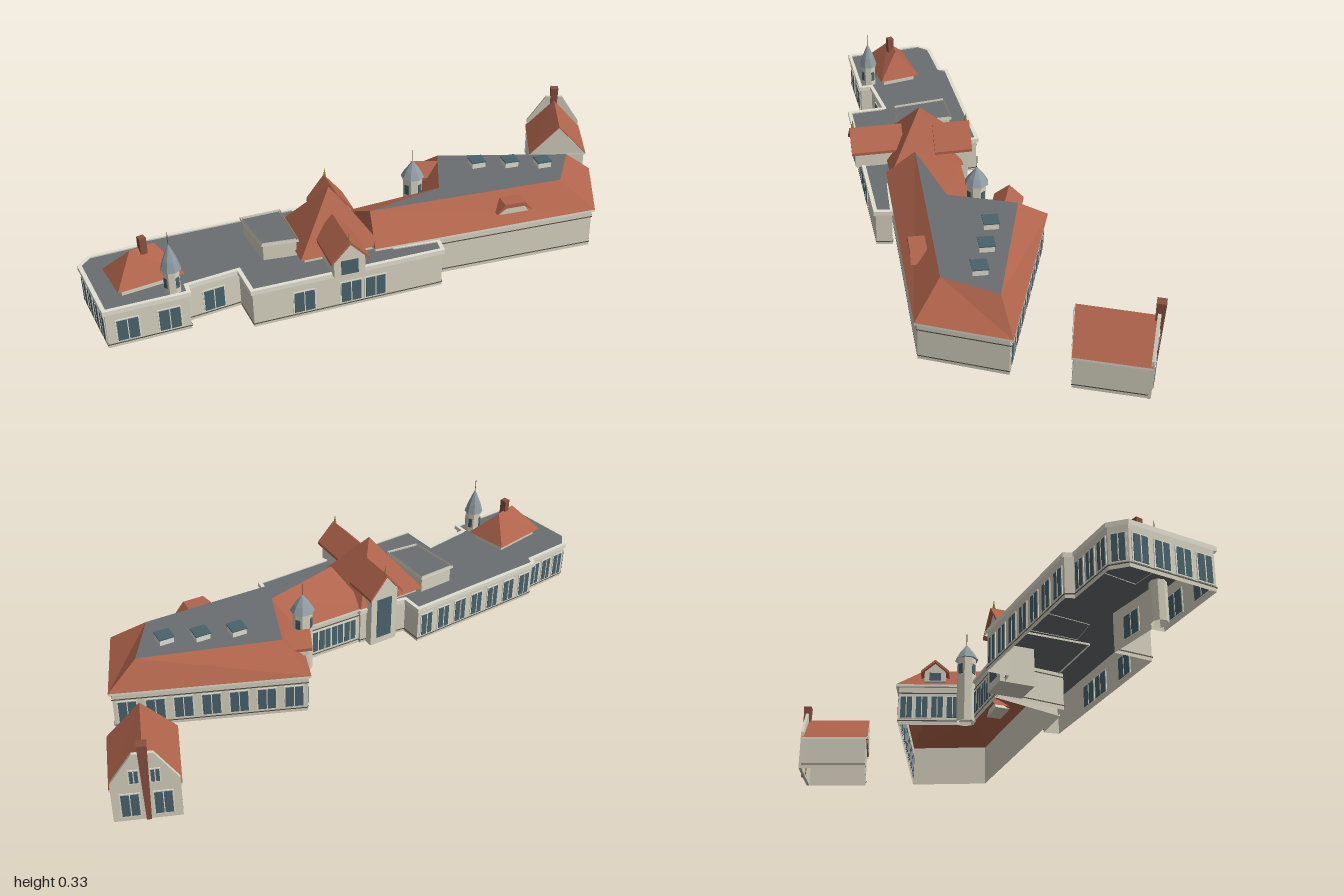
import * as THREE from 'three';

const mat = (color) => new THREE.MeshStandardMaterial({ color, flatShading: true, side: THREE.DoubleSide });

// Loops list [x, z] corners, clockwise as seen from above.
const mainEave = [[-0.12, -0.12], [0.13, -0.05], [0.27, -0.25], [0.76, 0.12], [0.58, 0.345], [-0.16, 0.135]];
const mainTop = [[-0.12, 0.045], [0.15, 0.05], [0.28, -0.135], [0.655, 0.11], [0.515, 0.235], [-0.12, 0.045]];
const wing = [[-0.96, -0.315], [-0.915, -0.347], [-0.75, -0.32], [-0.735, -0.342], [-0.242, -0.24], [-0.255, -0.17],
  [-0.1, -0.11], [-0.1, 0.15], [0.042, 0.195], [0.022, 0.244], [-0.585, 0.106], [-0.563, -0.02], [-0.735, -0.035],
  [-0.745, 0.004], [-0.994, -0.045]];
const house = [[0.695, -0.117], [0.832, -0.3], [0.985, -0.187], [0.862, -0.015]];

// Moves every side of a loop outward by d (mitred corners).
function offset(loop, d) {
  const n = loop.length;
  const normal = (a, b) => {
    const l = Math.hypot(b[0] - a[0], b[1] - a[1]);
    return [(b[1] - a[1]) / l, (a[0] - b[0]) / l];
  };
  return loop.map((p, i) => {
    const u = normal(loop[(i + n - 1) % n], p), v = normal(p, loop[(i + 1) % n]);
    const k = d / (1 + u[0] * v[0] + u[1] * v[1]);
    return [p[0] + (u[0] + v[0]) * k, p[1] + (u[1] + v[1]) * k];
  });
}

// Skin between two loops, with an optional lid on the upper one.
function loft(lower, y0, upper, y1, { sides = true, lid = false } = {}) {
  const pos = [], n = lower.length;
  const at = (p, y) => [p[0], y, p[1]];
  if (sides) for (let i = 0; i < n; i++) {
    const j = (i + 1) % n;
    const a = at(lower[i], y0), b = at(lower[j], y0), c = at(upper[j], y1), d = at(upper[i], y1);
    pos.push(...a, ...d, ...c, ...a, ...c, ...b);
  }
  if (lid) {
    const pts = upper.map(([x, z]) => new THREE.Vector2(x, z));
    for (const [a, b, c] of THREE.ShapeUtils.triangulateShape(pts, [])) {
      const [p, q, r] = [upper[a], upper[b], upper[c]];
      const up = (q[0] - p[0]) * (r[1] - p[1]) - (q[1] - p[1]) * (r[0] - p[0]) < 0;
      for (const v of up ? [p, q, r] : [p, r, q]) pos.push(...at(v, y1));
    }
  }
  const g = new THREE.BufferGeometry();
  g.setAttribute('position', new THREE.Float32BufferAttribute(pos, 3));
  g.computeVertexNormals();
  return g;
}

function extrude(points, depth) {
  const shape = new THREE.Shape(points.map(([x, y]) => new THREE.Vector2(x, y)));
  return new THREE.ExtrudeGeometry(shape, { depth, bevelEnabled: false });
}

export function createModel() {
  const root = new THREE.Group();
  const cream = mat(0xd6d2c0), trim = mat(0xe2dfd2), red = mat(0xb0644c), slate = mat(0x6a6e70);
  const lead = mat(0x8f9ca2), glass = mat(0x4a626c), dark = mat(0x55524a), brick = mat(0x8a5040), gold = mat(0xa08a40);

  const add = (name, geo, m, parent = root, x = 0, y = 0, z = 0, ry = 0) => {
    const o = new THREE.Mesh(geo, m);
    o.name = name;
    o.position.set(x, y, z);
    o.rotation.y = ry;
    parent.add(o);
    return o;
  };
  const box = (name, w, h, d, m, x, y, z, ry = 0, parent = root) =>
    add(name, new THREE.BoxGeometry(w, h, d), m, parent, x, y, z, ry);
  const band = (name, loop, out, y0, y1, m) => add(name, loft(offset(loop, out), y0, offset(loop, out), y1), m);

  // Row of framed windows along one side of a loop
  function windows(loop, i, count, w, y0, y1, from = 0, to = 1) {
    const a = loop[i], b = loop[(i + 1) % loop.length];
    const ry = Math.atan2(a[1] - b[1], b[0] - a[0]);
    for (let k = 0; k < count; k++) {
      const t = from + (to - from) * (k + 0.5) / count;
      const g = new THREE.Group();
      g.name = 'window';
      g.position.set(a[0] + (b[0] - a[0]) * t, (y0 + y1) / 2, a[1] + (b[1] - a[1]) * t);
      g.rotation.y = ry;
      root.add(g);
      box('windowFrame', w + 0.008, y1 - y0 + 0.008, 0.005, trim, 0, 0, 0, 0, g);
      box('windowGlass', w, y1 - y0, 0.008, glass, 0, 0, 0, 0, g);
      box('windowMullion', 0.003, y1 - y0, 0.01, trim, 0, 0, 0, 0, g);
    }
  }

  // Gabled dormer whose front faces local +z
  function dormer(name, x, z, ry, w, base, eave, ridge, back, front, finial) {
    const g = new THREE.Group();
    g.name = name;
    g.position.set(x, 0, z);
    g.rotation.y = ry;
    root.add(g);
    const h = w / 2, o = h + 0.012, t = 0.01, drop = 0.012 * (ridge - eave) / h;
    add('dormerWall', extrude([[-h, base], [h, base], [h, eave], [0, ridge], [-h, eave]], front + back), cream, g, 0, 0, -back);
    add('dormerRoof', extrude([[-o, eave - drop], [0, ridge], [o, eave - drop], [o, eave - drop + t], [0, ridge + t],
      [-o, eave - drop + t]], front + back + 0.012), red, g, 0, 0, -back);
    box('dormerWindow', w * 0.55, (eave - base) * 0.75, 0.004, glass, 0, (base + eave) / 2, front + 0.001, 0, g);
    if (finial) add('finial', new THREE.ConeGeometry(0.005, 0.03, 6), gold, g, 0, ridge + 0.025, front);
  }

  // Low flat-roofed wing
  add('wingWalls', loft(wing, 0, wing, 0.135), cream);
  add('wingRoof', loft(wing, 0.127, wing, 0.127, { sides: false, lid: true }), slate);
  band('wingCornice', wing, 0.007, 0.12, 0.135, trim);
  add('wingCoping', loft(offset(wing, 0.007), 0.135, offset(wing, -0.006), 0.135), trim);
  band('wingPlinth', wing, 0.002, 0.01, 0.014, dark);
  windows(wing, 3, 7, 0.042, 0.02, 0.1);
  windows(wing, 1, 3, 0.036, 0.02, 0.1);
  windows(wing, 0, 1, 0.036, 0.02, 0.1);
  windows(wing, 14, 4, 0.045, 0.02, 0.1);
  windows(wing, 13, 2, 0.065, 0.02, 0.09);
  windows(wing, 11, 1, 0.065, 0.02, 0.09, 0.1, 0.9);
  windows(wing, 9, 1, 0.065, 0.02, 0.09, 0.6, 0.88);
  windows(wing, 9, 2, 0.065, 0.02, 0.09, 0.3, 0.56);

  // Main wing with a hipped roof cut off flat
  const mainWall = offset(mainEave, -0.01);
  add('mainWalls', loft(mainWall, 0, mainWall, 0.145), cream);
  add('mainRoof', loft(mainEave, 0.142, mainTop, 0.225), red);
  add('mainRoofFlat', loft(mainTop, 0.225, mainTop, 0.225, { sides: false, lid: true }), slate);
  band('mainEaves', mainEave, 0, 0.134, 0.142, trim);
  add('mainSoffit', loft(mainWall, 0.134, mainEave, 0.134), trim);
  band('mainStringCourse', mainWall, 0.003, 0.11, 0.114, dark);
  band('mainPlinth', mainWall, 0.002, 0.012, 0.016, dark);
  windows(mainWall, 0, 4, 0.042, 0.025, 0.1, 0.1, 0.85);
  windows(mainWall, 1, 4, 0.038, 0.025, 0.1, 0.15, 1);
  windows(mainWall, 2, 7, 0.055, 0.025, 0.1);
  for (const [x, z] of [[0.35, -0.005], [0.445, 0.055], [0.535, 0.12]]) {
    box('skylightCurb', 0.046, 0.02, 0.046, trim, x, 0.234, z, -0.3);
    box('skylightGlass', 0.05, 0.004, 0.05, glass, x, 0.246, z, -0.3);
  }

  // Eyebrow dormer on the long front slope
  const brow = new THREE.Group();
  brow.name = 'eyebrowDormer';
  brow.position.set(0.32, 0, 0.225);
  brow.rotation.y = -0.29;
  root.add(brow);
  add('eyebrowFront', extrude([[-0.05, 0.17], [0.05, 0.17], [0.03, 0.192], [-0.03, 0.192]], 0.06), cream, brow, 0, 0, -0.04);
  add('eyebrowRoof', extrude([[-0.062, 0.174], [-0.03, 0.193], [0.03, 0.193], [0.062, 0.174], [0.035, 0.207], [-0.035, 0.207]],
    0.075), red, brow, 0, 0, -0.05);

  // Square central roof, its dormers and the box beside it
  const tower = [[-0.33, -0.18], [-0.09, -0.12], [-0.13, 0.13], [-0.39, 0.065]];
  const towerWall = offset(tower, -0.015);
  add('towerWalls', loft(towerWall, 0.12, towerWall, 0.15), cream);
  add('towerRoof', loft(tower, 0.145, tower.map(() => [-0.232, -0.02]), 0.32), red);
  dormer('frontDormer', -0.28, 0.135, -0.245, 0.1, 0.13, 0.195, 0.247, 0.1, 0.065, true);
  dormer('backDormer', -0.17, -0.125, Math.PI - 0.245, 0.1, 0, 0.2, 0.262, 0.08, 0.035, true);
  dormer('sideDormer', 0.215, -0.13, Math.atan2(-0.2, -0.14), 0.07, 0.15, 0.185, 0.215, 0.06, 0.03, false);
  const loftBox = [[-0.45, -0.2], [-0.33, -0.176], [-0.37, 0.005], [-0.47, -0.03]];
  add('roofBoxWalls', loft(loftBox, 0.125, loftBox, 0.19), cream);
  add('roofBoxTop', loft(loftBox, 0.185, loftBox, 0.185, { sides: false, lid: true }), slate);
  band('roofBoxCornice', loftBox, 0.006, 0.18, 0.19, trim);

  // Hipped pavilion roof and chimney at the far end
  const pavilion = [[-0.917, -0.235], [-0.715, -0.22], [-0.72, -0.07], [-0.93, -0.085]];
  const pavilionRidge = [[-0.855, -0.15], [-0.775, -0.152], [-0.775, -0.152], [-0.855, -0.15]];
  const pavilionWall = offset(pavilion, -0.015);
  add('pavilionWalls', loft(pavilionWall, 0.125, pavilionWall, 0.152), cream);
  add('pavilionRoof', loft(pavilion, 0.15, pavilionRidge, 0.238), red);
  box('pavilionChimney', 0.022, 0.07, 0.022, brick, -0.815, 0.24, -0.145);

  // Turrets: octagonal one in the inner corner, smaller one at the pavilion
  function turret(name, x, z, r, y0, wallTop, peak, sides) {
    const g = new THREE.Group();
    g.name = name;
    g.position.set(x, 0, z);
    root.add(g);
    add('turretWall', new THREE.CylinderGeometry(r, r, wallTop - y0, sides, 1, true), cream, g, 0, (y0 + wallTop) / 2, 0);
    const profile = [[r * 1.25, wallTop], [r * 0.85, wallTop + (peak - wallTop) * 0.4], [0.001, peak]];
    add('turretSpire', new THREE.LatheGeometry(profile.map(([a, b]) => new THREE.Vector2(a, b)), sides), lead, g);
    add('turretRod', new THREE.CylinderGeometry(0.0012, 0.0012, 0.045, 5), dark, g, 0, peak + 0.018, 0);
    for (let i = 0; i < 4; i++) {
      const s = i * Math.PI / 2 + 0.3;
      box('turretWindow', r * 0.5, 0.035, 0.004, glass, Math.sin(s) * r * 0.95, wallTop - 0.04, Math.cos(s) * r * 0.95, s, g);
    }
  }
  turret('cornerTurret', 0.125, -0.065, 0.032, 0, 0.225, 0.283, 8);
  turret('pavilionTurret', -0.775, -0.04, 0.026, 0, 0.205, 0.29, 8);

  // Detached gabled house
  const mid = (a, b) => [(a[0] + b[0]) / 2, (a[1] + b[1]) / 2];
  const eaves = offset(house, 0.006), near = mid(eaves[3], eaves[0]), far = mid(eaves[1], eaves[2]);
  add('houseWalls', loft(house, 0, house, 0.122), cream);
  add('houseRoof', loft(eaves, 0.118, [near, far, far, near], 0.225), red);
  band('houseEaves', eaves, 0, 0.11, 0.118, trim);
  band('housePlinth', house, 0.002, 0.012, 0.016, dark);
  const gable = (name, a, b, pts, depth) => {
    const m = mid(a, b);
    return add(name, extrude(pts, depth), cream, root, m[0], 0, m[1], Math.atan2(b[1] - a[1], a[0] - b[0]));
  };
  gable('houseGable', eaves[3], eaves[0], [[-0.1, 0.118], [0.1, 0.118], [0, 0.221]], 0.002);
  gable('houseChimneyGable', house[1], house[2],
    [[-0.097, 0], [0.097, 0], [0.097, 0.14], [0.03, 0.24], [-0.03, 0.24], [-0.097, 0.14]], 0.01);
  const outer = offset(house, 0.01);
  for (const [y0, y1, w, inset] of [[0.02, 0.098, 0.05, 0.06], [0.14, 0.182, 0.024, 0.22]])
    windows(outer, 1, 2, w, y0, y1, inset, 1 - inset);
  const chimney = add('houseChimney', new THREE.CylinderGeometry(0.02, 0.01, 0.275, 4, 1), brick, root, 0.912, 0.1375, -0.25);
  chimney.rotation.y = Math.PI / 4 - 0.64;
  return root;
}
